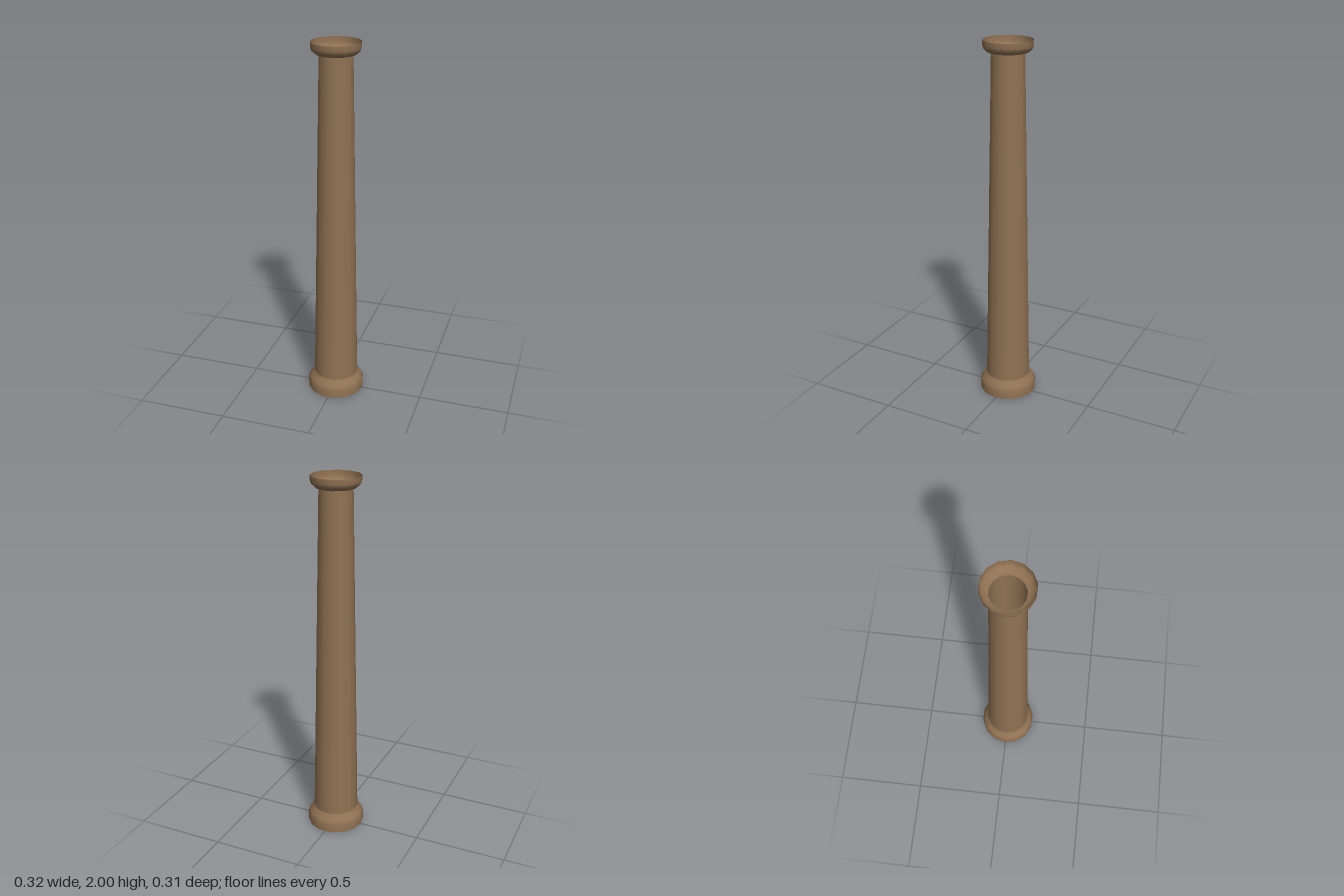
import * as THREE from 'three';

const SIDES = 14;

export function createModel() {
  const group = new THREE.Group();
  group.name = 'column';
  const stone = new THREE.MeshStandardMaterial({ color: 0x907254, side: THREE.DoubleSide });
  stone.name = 'brown stone';

  // Thin open shell turned around the y axis, with a corner on the x axis
  function ring(name, profile) {
    const points = profile.map(([r, y]) => new THREE.Vector2(r, y));
    const mesh = new THREE.Mesh(new THREE.LatheGeometry(points, SIDES, Math.PI / 2), stone);
    mesh.name = name;
    group.add(mesh);
  }

  // Flared foot, open below
  ring('base', [[0.157, 0], [0.159, 0.05], [0.148, 0.066], [0.124, 0.1]]);
  // Hollow tapering shaft
  ring('shaft', [[0.124, 0.1], [0.088, 1.937]]);
  // Cup-shaped capital, open above
  ring('capital', [[0.088, 1.937], [0.106, 1.94], [0.125, 1.957], [0.131, 1.974], [0.131, 2]]);

  return group;
}
